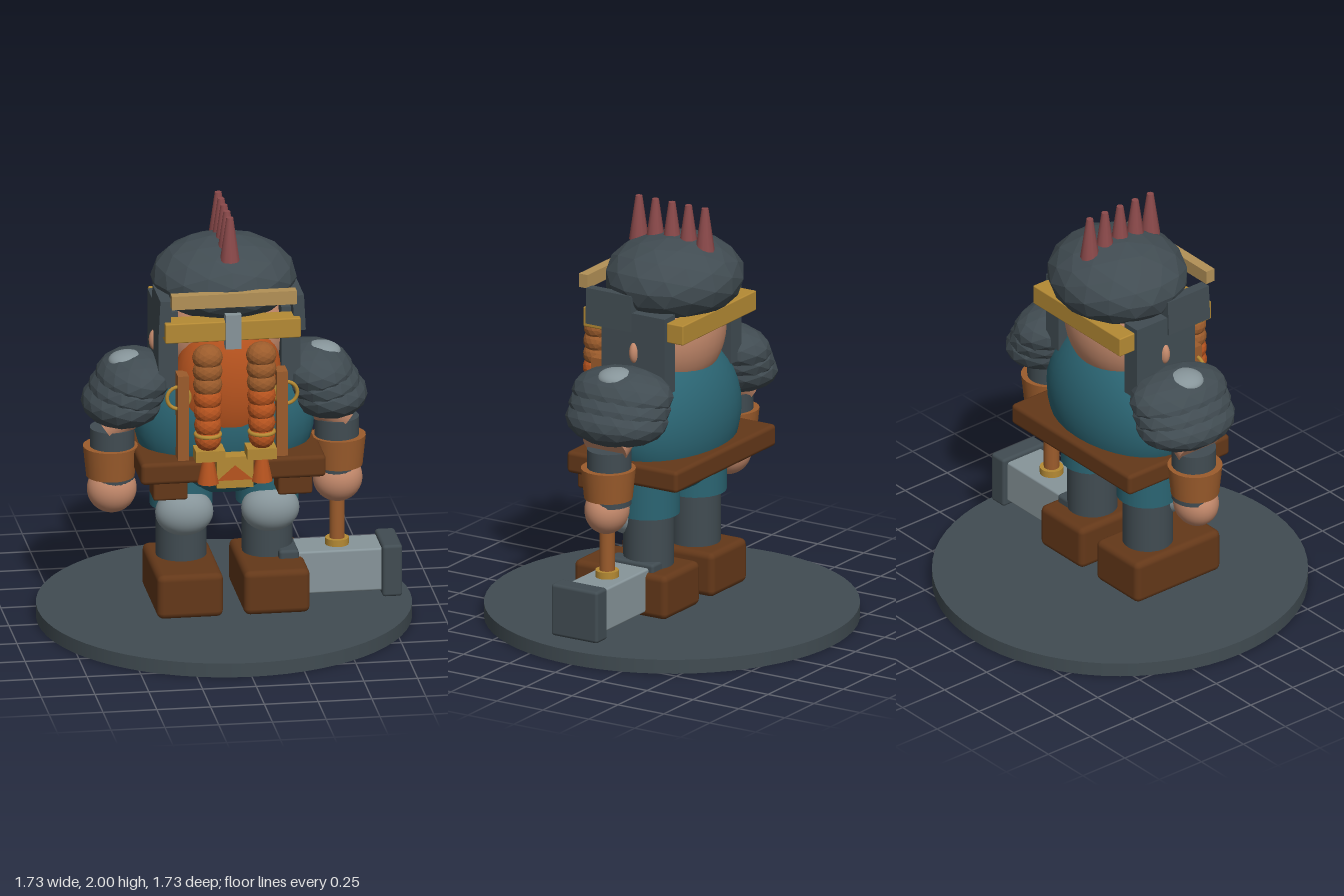
import * as THREE from 'three';
import { RoundedBoxGeometry } from 'three/addons/geometries/RoundedBoxGeometry.js';

const mat = (name, color) => {
  const m = new THREE.MeshStandardMaterial({ color });
  m.name = name;
  return m;
};

export function createModel() {
  const root = new THREE.Group();
  root.name = 'warrior';
  const slate = mat('slate', 0x414c52), brown = mat('dark brown', 0x643819);
  const leather = mat('leather', 0x9c5c2c), skin = mat('skin', 0xc58a6c);
  const teal = mat('teal cloth', 0x2b6573), orange = mat('orange hair', 0xb8541f);
  const gold = mat('gold', 0xb58a34), paleGold = mat('pale gold', 0xb39157);
  const steel = mat('steel', 0x87959a), red = mat('dark red', 0x8c4a4b);

  // Helpers: place a geometry, and the common shapes
  const add = (name, geo, m, x, y, z) => {
    const mesh = new THREE.Mesh(geo, m);
    mesh.name = name;
    mesh.position.set(x, y, z);
    root.add(mesh);
    return mesh;
  };
  // Box from its limits, rounded when r is given
  const box = (name, m, x0, x1, y0, y1, z0, z1, r = 0) => {
    const s = [Math.abs(x1 - x0), y1 - y0, z1 - z0];
    const geo = r ? new RoundedBoxGeometry(...s, 2, r) : new THREE.BoxGeometry(...s);
    return add(name, geo, m, (x0 + x1) / 2, (y0 + y1) / 2, (z0 + z1) / 2);
  };
  const ball = (name, m, x, y, z, rx, ry, rz) =>
    add(name, new THREE.SphereGeometry(1, 32, 20).scale(rx, ry, rz), m, x, y, z);
  // Faceted ellipsoid: a non-indexed polyhedron with face normals
  const rock = (name, m, x, y, z, rx, ry, rz, detail) => {
    const geo = new THREE.IcosahedronGeometry(1, detail).scale(rx, ry, rz);
    geo.computeVertexNormals();
    return add(name, geo, m, x, y, z);
  };
  const post = (name, m, x, z, y0, y1, rBottom, rTop = rBottom, sides = 24) =>
    add(name, new THREE.CylinderGeometry(rTop, rBottom, y1 - y0, sides), m, x, (y0 + y1) / 2, z);

  // Base and body
  post('base', slate, 0, 0, 0, 0.067, 0.865, 0.865, 64);
  ball('torso', teal, 0, 0.98, 0, 0.42, 0.37, 0.27);
  box('belt', brown, -0.43, 0.43, 0.755, 0.86, -0.298, 0.304, 0.02);
  box('buckle', gold, -0.085, 0.085, 0.74, 0.89, 0.27, 0.345);
  const tip = new THREE.Shape([[-0.08, 0.78], [0.08, 0.78], [0, 0.85]].map(p => new THREE.Vector2(...p)));
  add('beardTip', new THREE.ExtrudeGeometry(tip, { depth: 0.008, bevelEnabled: false }), orange, 0, 0, 0.345);

  // Head and beard
  ball('head', skin, 0, 1.4, 0, 0.29, 0.3, 0.235);
  ball('beard', orange, 0, 1.19, 0.13, 0.25, 0.34, 0.165);

  // Helmet with its bands, nose guard and crest
  rock('helmet', slate, 0, 1.65, -0.015, 0.338, 0.2, 0.32, 2);
  box('frontBand', gold, -0.315, 0.315, 1.435, 1.53, 0.18, 0.285, 0.006);
  box('backBand', gold, -0.315, 0.315, 1.435, 1.53, -0.26, -0.17, 0.006);
  box('browBar', paleGold, -0.29, 0.29, 1.612, 1.677, 0.275, 0.323);
  box('noseGuard', steel, -0.037, 0.037, 1.4, 1.565, 0.24, 0.302);
  for (let i = -2; i <= 2; i++) post('crestSpike', red, 0, i * 0.09, 1.79, 2, 0.046, 0.016, 10);

  for (const s of [-1, 1]) {
    // Legs
    box('boot', brown, s * 0.048, s * 0.355, 0.1, 0.312, -0.19, 0.315, 0.03);
    post('leg', slate, s * 0.2, 0, 0.3, 0.62, 0.117);
    post('thigh', teal, s * 0.2, 0, 0.56, 0.8, 0.145);
    ball('kneePad', steel, s * 0.2, 0.55, 0.1, 0.135, 0.112, 0.098);
    box('beltPouch', brown, s * 0.21, s * 0.37, 0.67, 0.8, 0.14, 0.282, 0.012);

    // Sides of the head
    ball('ear', skin, s * 0.32, 1.36, 0, 0.03, 0.052, 0.024);
    box('cheekPlate', slate, s * 0.24, s * 0.33, 1.18, 1.55, -0.17, 0.175);
    box('templePlate', slate, s * 0.285, s * 0.338, 1.46, 1.63, 0.01, 0.255).rotation.z = s * 0.05;

    // Chest straps and rings
    box('strap', leather, s * 0.205, s * 0.255, 0.85, 1.27, 0.19, 0.278);
    add('ring', new THREE.TorusGeometry(0.053, 0.009, 8, 24), gold, s * 0.25, 1.16, 0.255);

    // Beard braids
    for (let i = 0; i < 7; i++)
      rock('braidBead', i < 3 ? leather : orange, s * 0.125, 1.375 - i * 0.065, 0.323 + i * 0.002,
        0.071 - i * 0.0015, 0.062, 0.066, 2);
    const loop = add('braidRing', new THREE.TorusGeometry(0.056, 0.01, 8, 24), gold, s * 0.125, 1.005, 0.335);
    loop.rotation.x = Math.PI / 2;
    box('braidClamp', gold, s * 0.052, s * 0.188, 0.885, 0.937, 0.285, 0.387);
    post('braidTuft', orange, s * 0.125, 0.342, 0.77, 0.89, 0.05, 0.025, 10);

    // Layered shoulder guard with a stud on top
    for (let i = 0; i < 3; i++)
      rock('shoulderPlate', slate, s * (0.42 + i * 0.025), 1.19 - i * 0.055, 0.002,
        0.18 + i * 0.007, 0.12, 0.255, 2).rotation.z = -s * 0.08;
    ball('shoulderStud', steel, s * 0.45, 1.27, 0.015, 0.09, 0.045, 0.09);

    // Arm
    const a = new THREE.Vector3(s * 0.35, 1.12, 0.005), b = new THREE.Vector3(s * 0.57, 0.97, 0.005);
    const arm = add('upperArm', new THREE.CylinderGeometry(0.112, 0.112, a.distanceTo(b), 24), skin, 0, 0, 0);
    arm.position.lerpVectors(a, b, 0.5);
    arm.quaternion.setFromUnitVectors(new THREE.Vector3(0, 1, 0), a.clone().sub(b).normalize());
    post('forearm', slate, s * 0.522, 0.01, 0.685, 0.95, 0.103);
    post('bracer', leather, s * 0.53, 0.01, 0.715, 0.86, 0.112, 0.127);
    ball('hand', skin, s * 0.525, 0.655, 0.02, 0.115, 0.115, 0.1);
  }

  // Hammer resting on the ground, held in the left hand
  post('hammerHandle', leather, 0.522, 0.022, 0.33, 0.7, 0.036, 0.036, 16);
  post('hammerCollar', gold, 0.522, 0.022, 0.32, 0.362, 0.055, 0.055, 16);
  box('hammerHead', steel, 0.3, 0.74, 0.125, 0.33, -0.08, 0.122, 0.01);
  box('hammerOuterCap', slate, 0.715, 0.808, 0.1, 0.35, -0.105, 0.148, 0.015);
  box('hammerInnerCap', slate, 0.235, 0.328, 0.1, 0.35, -0.105, 0.148, 0.015);
  return root;
}
